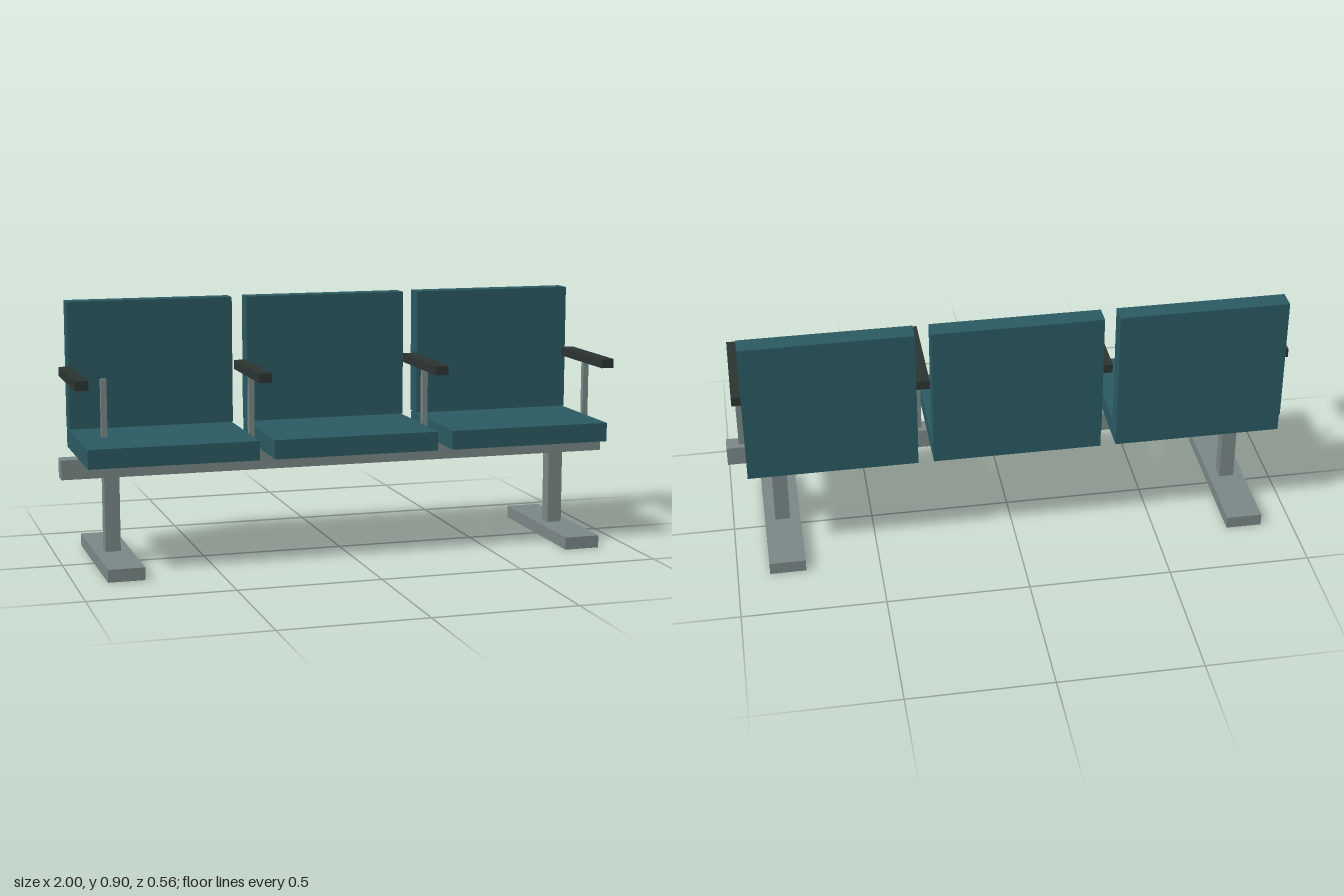
import * as THREE from 'three';

export function createModel() {
  const model = new THREE.Group();
  model.name = 'beamSeating';

  const material = (name, color) => {
    const m = new THREE.MeshStandardMaterial({ color });
    m.name = name;
    return m;
  };
  const teal = material('tealUpholstery', 0x2b5a63);
  const steel = material('greySteel', 0x7a8887);
  const black = material('blackArmrest', 0x2c3432);

  // Box given by its lower and upper limits on each axis
  const box = (name, mat, [x0, x1], [y0, y1], [z0, z1]) => {
    const mesh = new THREE.Mesh(new THREE.BoxGeometry(x1 - x0, y1 - y0, z1 - z0), mat);
    mesh.position.set((x0 + x1) / 2, (y0 + y1) / 2, (z0 + z1) / 2);
    mesh.name = name;
    model.add(mesh);
  };
  const around = (c, width) => [c - width / 2, c + width / 2];

  // Supporting beam
  box('beam', steel, [-1, 1], [0.306, 0.375], [-0.03, 0.03]);

  // Legs with long feet
  for (const x of [-0.826, 0.824]) {
    box('foot', steel, around(x, 0.127), [0, 0.044], [-0.282, 0.282]);
    box('leg', steel, around(x, 0.053), [0.044, 0.306], [-0.026, 0.026]);
  }

  // Three seats with backrests
  for (const x of [-0.645, -0.002, 0.641]) {
    box('seat', teal, around(x, 0.589), [0.376, 0.443], [-0.225, 0.227]);
    box('backrest', teal, around(x, 0.589), [0.446, 0.896], [-0.234, -0.165]);
  }

  // Armrests; the post at the right end stands inboard on its seat
  for (const [padX, postX] of [[-0.95, -0.845], [-0.322, -0.324], [0.316, 0.319], [0.945, 0.946]]) {
    box('armrest', black, around(padX, 0.046), [0.638, 0.67], [-0.165, 0.201]);
    box('armrestPost', steel, around(postX, 0.02), [0.375, 0.645], [-0.01, 0.01]);
  }

  return model;
}
